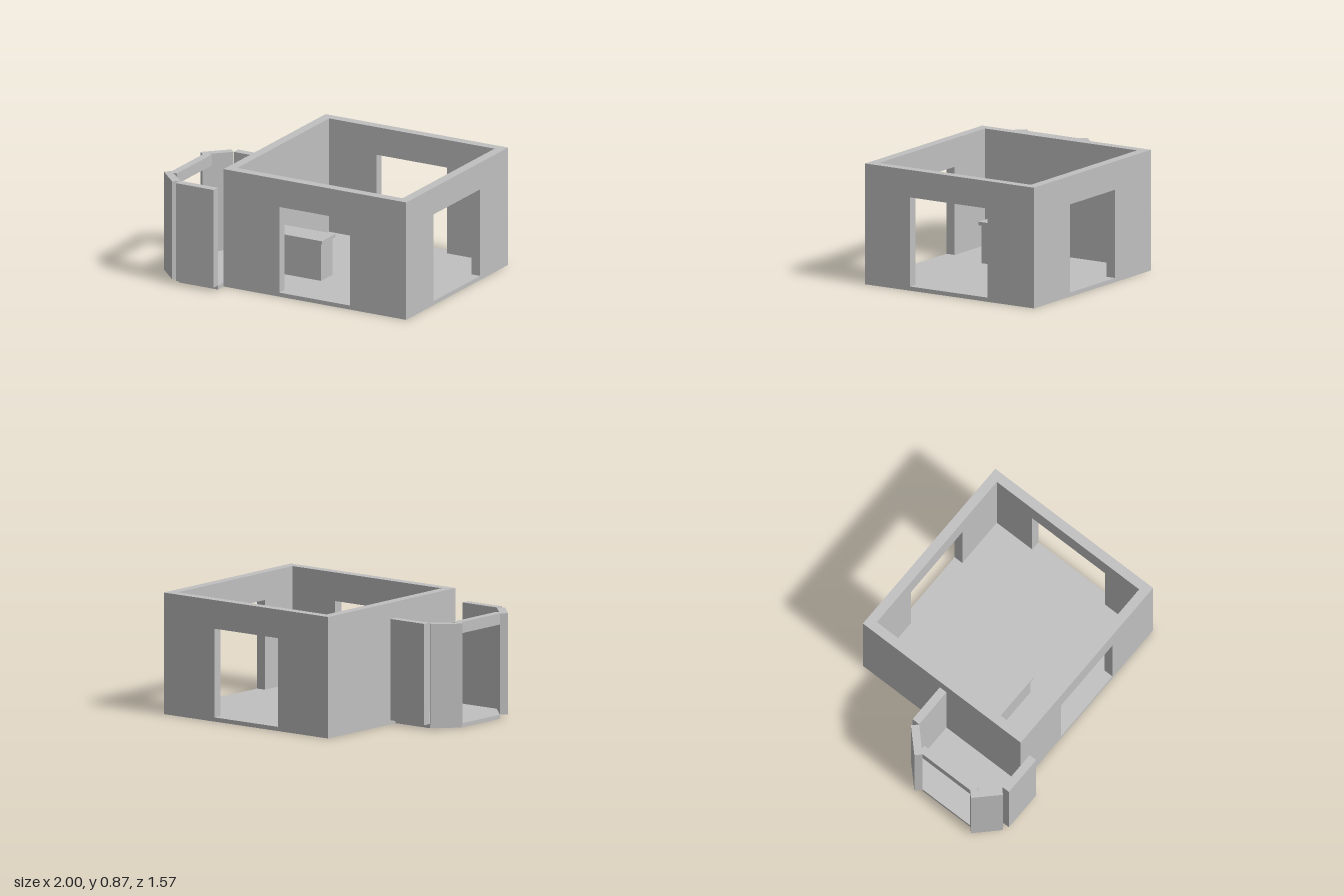
import * as THREE from 'three';

const plaster = new THREE.MeshStandardMaterial({ color: 0xc0c0c0 });
plaster.name = 'grey plaster';

const FLOOR = 0.03, TOP = 0.87, BAY_TOP = 0.755, WALL = 0.07;

function add(parent, name, geometry) {
  const mesh = new THREE.Mesh(geometry, plaster);
  mesh.name = name;
  parent.add(mesh);
  return mesh;
}

// Box given by its lower and upper corner
function block(parent, name, [x0, y0, z0], [x1, y1, z1]) {
  const mesh = add(parent, name, new THREE.BoxGeometry(x1 - x0, y1 - y0, z1 - z0));
  mesh.position.set((x0 + x1) / 2, (y0 + y1) / 2, (z0 + z1) / 2);
  return mesh;
}

function polygon(points) {
  return new THREE.Shape(points.map(([x, y]) => new THREE.Vector2(x, y)));
}

// Wall from a to b with a doorway from c to d that reaches the floor
function doorWall(parent, name, a, b, c, d, head) {
  const shape = polygon([
    [a, FLOOR], [c, FLOOR], [c, head], [d, head],
    [d, FLOOR], [b, FLOOR], [b, TOP], [a, TOP],
  ]);
  return add(parent, name, new THREE.ExtrudeGeometry(shape, { depth: WALL, bevelEnabled: false }));
}

export function createModel() {
  const model = new THREE.Group();
  model.name = 'openRoofRoom';

  // Main room
  const room = new THREE.Group();
  room.name = 'mainRoom';
  model.add(room);
  const x0 = -0.49, x1 = 0.997, z0 = -0.785, z1 = 0.64;
  block(room, 'roomFloor', [x0, 0, z0], [x1, FLOOR, z1]);
  doorWall(room, 'frontWall', x0, x1, -0.035, 0.54, 0.665).position.z = z1 - WALL;
  doorWall(room, 'backWall', x0, x1, -0.035, 0.54, 0.665).position.z = z0;
  const rightWall = doorWall(room, 'sideDoorWall', z0 + WALL, z1 - WALL, -0.395, 0.26, 0.672);
  rightWall.rotation.y = -Math.PI / 2;
  rightWall.position.x = x1;
  block(room, 'solidSideWall', [x0, FLOOR, z0 + WALL], [x0 + WALL, TOP, z1 - WALL]);

  // Counter
  const counter = new THREE.Group();
  counter.name = 'counter';
  model.add(counter);
  block(counter, 'counterBody', [-0.385, FLOOR, 0.105], [0.085, 0.305, 0.265]);
  block(counter, 'counterTop', [-0.4, 0.305, 0.09], [0.1, 0.33, 0.28]);

  // Bay with a floor of cut corners and walls standing around it
  const bay = new THREE.Group();
  bay.name = 'bay';
  model.add(bay);
  const plan = polygon([
    [-0.49, -0.72], [-0.49, 0.03], [-0.8, 0.03],
    [-0.957, -0.13], [-0.957, -0.56], [-0.8, -0.72],
  ]);
  const floor = add(bay, 'bayFloor', new THREE.ExtrudeGeometry(plan, { depth: FLOOR, bevelEnabled: false }));
  floor.rotation.x = -Math.PI / 2;

  const middle = 0.345;
  for (const [side, s] of [['front', 1], ['back', -1]]) {
    const inner = middle + s * 0.375, outer = middle + s * 0.435;
    block(bay, side + 'BayWall',
      [-0.797, FLOOR, Math.min(inner, outer)], [-0.49, BAY_TOP, Math.max(inner, outer)]);
    const diagonal = add(bay, side + 'DiagonalWall',
      new THREE.BoxGeometry(0.226, BAY_TOP - FLOOR, 0.058));
    diagonal.position.set(-0.899, (BAY_TOP + FLOOR) / 2, middle + s * 0.315);
    diagonal.rotation.y = -s * Math.PI / 4;
  }
  // Beam over the open end
  block(bay, 'bayLintel', [-0.957, BAY_TOP - 0.08, 0.1], [-0.9, BAY_TOP, 0.59]);

  return model;
}
